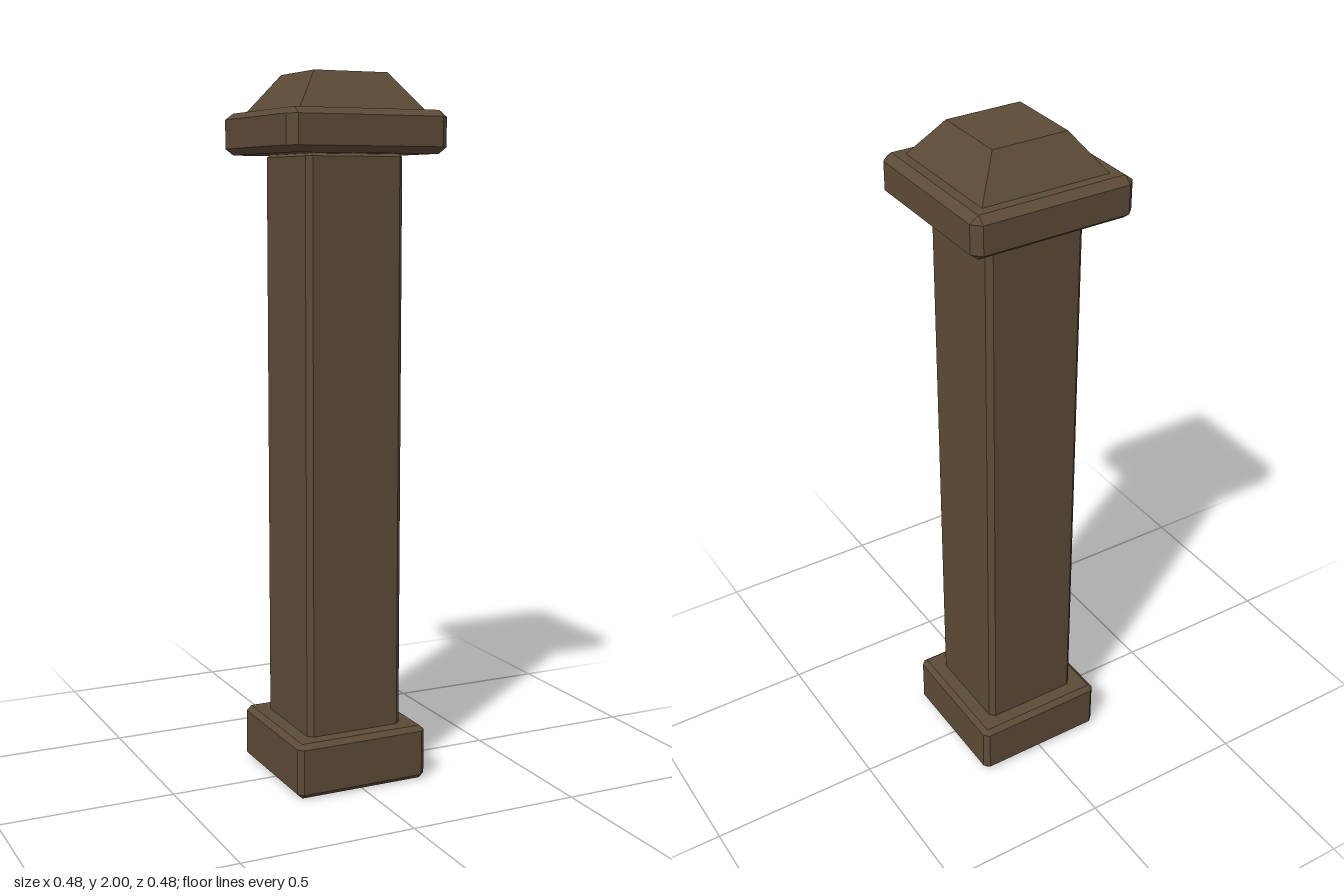
import * as THREE from 'three';
import { ConvexGeometry } from 'three/addons/geometries/ConvexGeometry.js';

// Square block with every edge bevelled; half = half width, b = side bevel, v = vertical bevel
function bevelledBlock(half, y0, y1, b, v) {
  const points = [];
  const inner = half - b;
  for (const sx of [-1, 1]) for (const sz of [-1, 1]) {
    for (const [face, edge] of [[y0, y0 + v], [y1, y1 - v]]) {
      points.push(
        new THREE.Vector3(sx * inner, face, sz * inner),
        new THREE.Vector3(sx * half, edge, sz * inner),
        new THREE.Vector3(sx * inner, edge, sz * half)
      );
    }
  }
  return new ConvexGeometry(points);
}

// Square block tapering from one half width to another
function taperedBlock(bottom, top, y0, y1) {
  const geometry = new THREE.BoxGeometry(2, y1 - y0, 2).translate(0, (y0 + y1) / 2, 0);
  const p = geometry.attributes.position;
  for (let i = 0; i < p.count; i++) {
    const half = p.getY(i) > (y0 + y1) / 2 ? top : bottom;
    p.setX(i, p.getX(i) * half);
    p.setZ(i, p.getZ(i) * half);
  }
  geometry.computeVertexNormals();
  return geometry;
}

export function createModel() {
  const model = new THREE.Group();
  model.name = 'post';
  const wood = new THREE.MeshStandardMaterial({ color: 0x5c4a37, flatShading: true });
  wood.name = 'dark brown wood';

  const add = (name, geometry) => {
    const mesh = new THREE.Mesh(geometry, wood);
    mesh.name = name;
    model.add(mesh);
  };

  add('base', bevelledBlock(0.2, 0, 0.158, 0.015, 0.014));
  add('shaft', bevelledBlock(0.146, 0.145, 1.785, 0.015, 0.012));
  add('capSlab', bevelledBlock(0.238, 1.78, 1.897, 0.024, 0.018));
  add('capTop', taperedBlock(0.188, 0.11, 1.895, 2));
  return model;
}
